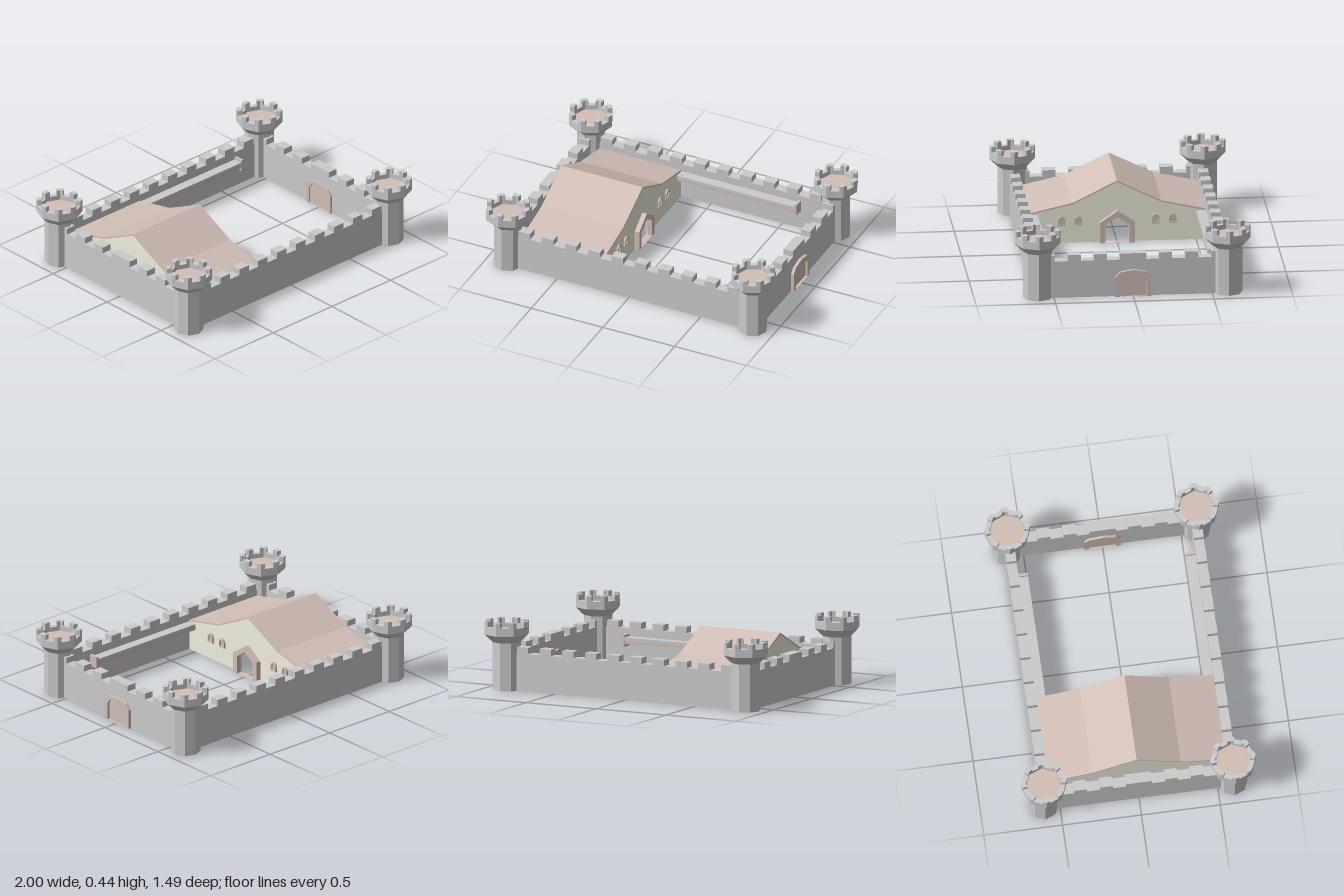
import * as THREE from 'three';

const mat = (color) => new THREE.MeshStandardMaterial({ color, flatShading: true, side: THREE.DoubleSide });
const stone = mat(0xcccccc), tile = mat(0xd2bfb7), plaster = mat(0xf0f0e0);

function add(parent, name, geometry, material, x = 0, y = 0, z = 0) {
  const m = new THREE.Mesh(geometry, material);
  m.name = name;
  m.position.set(x, y, z);
  parent.add(m);
  return m;
}

// Box given by its minimum and maximum corners
function box(parent, name, material, x0, x1, y0, y1, z0, z1) {
  return add(parent, name, new THREE.BoxGeometry(x1 - x0, y1 - y0, z1 - z0), material,
    (x0 + x1) / 2, (y0 + y1) / 2, (z0 + z1) / 2);
}

const polygon = (pts) => new THREE.Shape(pts.map(([a, b]) => new THREE.Vector2(a, b)));

// Profile in (z, y) extruded along x from x0 to x1; all profiles are symmetric in z
function slab(parent, name, material, shape, x0, x1) {
  const g = new THREE.ExtrudeGeometry(shape, { depth: x1 - x0, bevelEnabled: false });
  g.rotateY(Math.PI / 2);
  return add(parent, name, g, material, x0, 0, 0);
}

// Symmetric outline closed along the base
const mirrored = (half) => [...half, ...half.slice().reverse().filter(p => p[0] > 0).map(([z, y]) => [-z, y])];

// Opening surround: outer outline with inner outline cut out
function surround(parent, name, outer, inner, x0, x1) {
  const s = polygon(outer);
  s.holes.push(polygon(inner));
  return slab(parent, name, tile, s, x0, x1);
}

function tower() {
  const g = new THREE.Group();
  g.name = 'tower';
  const R = 0.145, r = 0.113;
  const lathe = (pts) => new THREE.LatheGeometry(pts.map(([a, b]) => new THREE.Vector2(a, b)), 8);
  add(g, 'shaft', lathe([[0, 0], [0.093, 0], [0.093, 0.305]]), stone);
  add(g, 'crown', lathe([[0.093, 0.305], [R, 0.355], [R, 0.405], [r, 0.405], [r, 0.37]]), stone);
  add(g, 'towerFloor', new THREE.CircleGeometry(r, 8).rotateX(-Math.PI / 2), tile, 0, 0.375, 0);
  // Battlements wrapped round each corner of the octagon
  const d = 0.18, k = Math.cos(Math.PI / 8) / Math.cos(Math.PI / 8 - d);
  const at = (rad, a) => [rad * Math.cos(a), rad * Math.sin(a)];
  for (let i = 0; i < 8; i++) {
    const a = i * Math.PI / 4;
    const s = polygon([at(r * k, a - d), at(R * k, a - d), at(R, a), at(R * k, a + d), at(r * k, a + d), at(r, a)]);
    const geo = new THREE.ExtrudeGeometry(s, { depth: 0.035, bevelEnabled: false }).rotateX(-Math.PI / 2);
    add(g, 'towerMerlon', geo, stone, 0, 0.405, 0);
  }
  return g;
}

export function createModel() {
  const model = new THREE.Group();
  model.name = 'castle';

  // Corner towers
  for (const x of [-0.855, 0.855]) for (const z of [-0.6, 0.6]) {
    const t = tower();
    t.position.set(x, 0, z);
    model.add(t);
  }

  // Long curtain walls with battlements and an inner walkway
  const step = 1.54 / 19;
  for (const s of [-1, 1]) {
    const z0 = s > 0 ? 0.562 : -0.625, z1 = z0 + 0.063;
    box(model, 'longWall', stone, -0.84, 0.84, 0, 0.24, z0, z1);
    for (let i = 0; i < 10; i++) {
      const x = -0.77 + 2 * i * step;
      box(model, 'wallMerlon', stone, x, x + step, 0.24, 0.28, z0, z1);
    }
    const mid = s * 0.531;
    box(model, 'walkway', stone, -0.205, 0.61, 0.17, 0.19, mid - 0.031, mid + 0.031);
    box(model, 'walkwayBeam', tile, -0.205, 0.61, 0.15, 0.17, mid - 0.029, mid + 0.029);
    box(model, 'walkwayEndPost', tile, 0.61, 0.628, 0.13, 0.205, mid - 0.031, mid + 0.031);
  }

  // Short curtain walls, battlements mirrored about the middle
  for (const s of [-1, 1]) {
    const x0 = s * 0.852 - 0.033, x1 = x0 + 0.066;
    box(model, 'shortWall', stone, x0, x1, 0, 0.24, -0.58, 0.58);
    box(model, 'wallMerlon', stone, x0, x1, 0.24, 0.28, -0.083, 0.083);
    for (const e of [-1, 1]) for (const z of [0.165, 0.33, 0.495]) {
      const c = e * (z + 0.041);
      box(model, 'wallMerlon', stone, x0, x1, 0.24, 0.28, c - 0.041, c + 0.041);
    }
  }

  // Gate in the +x wall
  const gateOut = mirrored([[0.115, 0], [0.115, 0.125], [0.085, 0.16], [0, 0.177]]);
  const gateIn = mirrored([[0.085, 0.0005], [0.085, 0.11], [0.06, 0.143], [0, 0.156]]);
  surround(model, 'gateFrame', gateOut, gateIn, 0.805, 0.905);
  slab(model, 'gateDoor', tile, polygon(gateIn), 0.815, 0.889);

  // Hall: two gable walls under a broken-pitch roof
  const hall = new THREE.Group();
  hall.name = 'hall';
  model.add(hall);
  const gable = mirrored([[0.56, 0], [0.56, 0.19], [0.28, 0.255], [0, 0.392]]);
  const porchOut = mirrored([[0.11, 0], [0.11, 0.135], [0, 0.21]]);
  const porchIn = mirrored([[0.075, 0.0005], [0.075, 0.118], [0, 0.17]]);
  slab(hall, 'rearGable', plaster, polygon(gable), -0.772, -0.762);
  const front = polygon(gable);
  front.holes.push(polygon(porchIn));
  slab(hall, 'frontGable', plaster, front, -0.217, -0.207);
  surround(hall, 'doorway', porchOut, porchIn, -0.217, -0.175);
  const roof = [[0.56, 0.19], [0.56, 0.2], [0.28, 0.263], [0, 0.402], [-0.28, 0.263], [-0.56, 0.2],
    [-0.56, 0.19], [-0.28, 0.253], [0, 0.392], [0.28, 0.253]];
  slab(hall, 'roof', tile, polygon(roof), -0.775, -0.205);

  // Small arched windows either side of the doorway
  const winOut = mirrored([[0.024, 0.115], [0.024, 0.155], [0.014, 0.172], [0, 0.178]]);
  const winIn = mirrored([[0.015, 0.124], [0.015, 0.152], [0.009, 0.164], [0, 0.168]]);
  for (const z of [-0.35, -0.245, 0.245, 0.35]) {
    surround(hall, 'windowFrame', winOut, winIn, -0.218, -0.195).position.z = z;
    slab(hall, 'windowPane', tile, polygon(winIn), -0.216, -0.204).position.z = z;
  }
  return model;
}
